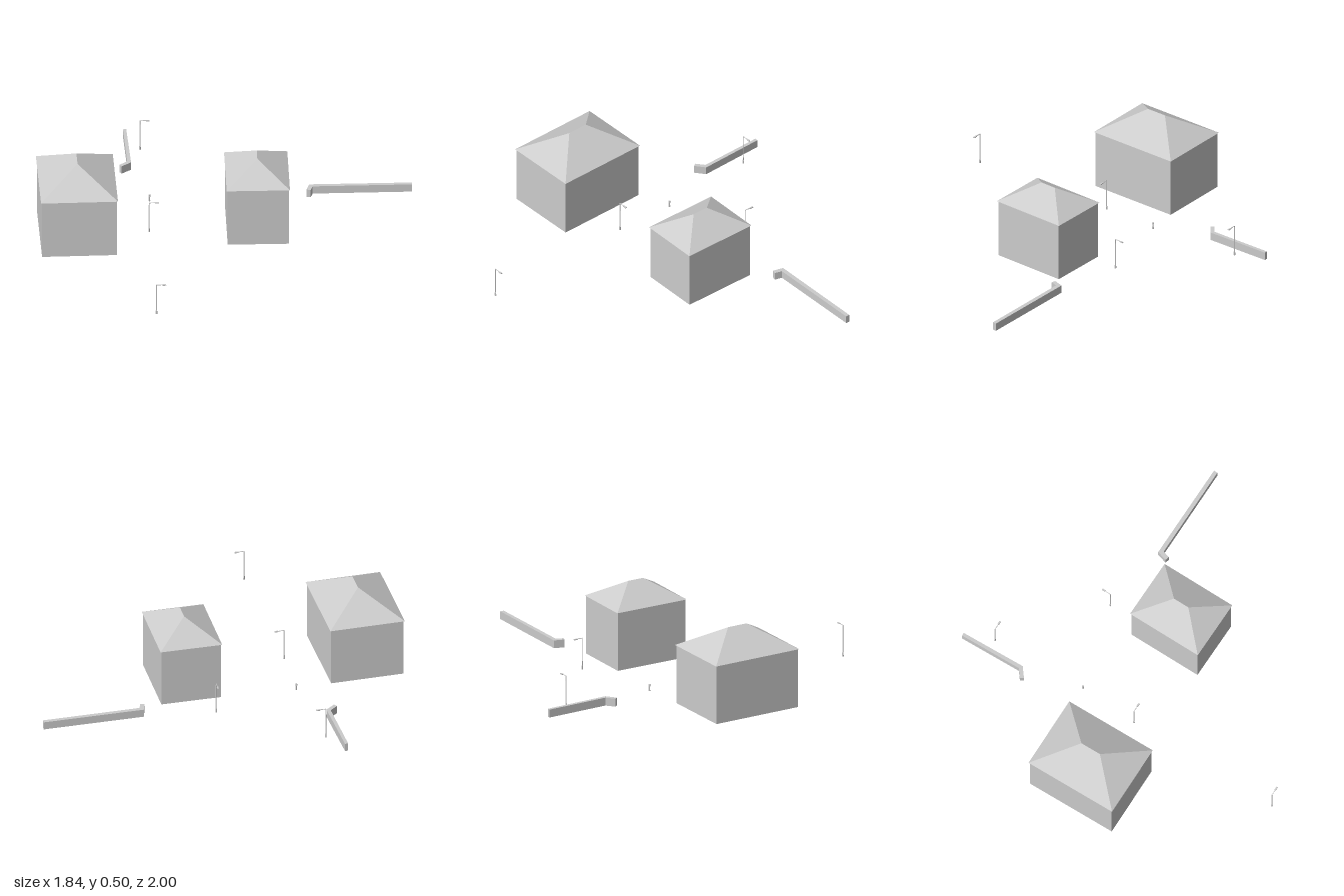
import * as THREE from 'three';

const grey = new THREE.MeshStandardMaterial({ color: 0xcccccc, flatShading: true, side: THREE.DoubleSide });

function add(parent, geometry, name, x = 0, y = 0, z = 0) {
  const mesh = new THREE.Mesh(geometry, grey);
  mesh.name = name;
  mesh.position.set(x, y, z);
  parent.add(mesh);
  return mesh;
}

// Flat faces from lists of corner points (counter-clockwise from outside), fanned into triangles
function facesGeometry(faces) {
  const pos = [];
  for (const f of faces)
    for (let i = 1; i < f.length - 1; i++) pos.push(...f[0], ...f[i], ...f[i + 1]);
  const g = new THREE.BufferGeometry();
  g.setAttribute('position', new THREE.Float32BufferAttribute(pos, 3));
  g.computeVertexNormals();
  return g;
}

// Upright side faces around an outline of [x, z] points
function sideFaces(outline, y0, y1) {
  return outline.map(([x, z], i) => {
    const [u, w] = outline[(i + 1) % outline.length];
    return [[x, y0, z], [u, y0, w], [u, y1, w], [x, y1, z]];
  });
}

// Rectangle outline, counter-clockwise seen from above
const rectangle = (w, d) => [[-w / 2, d / 2], [w / 2, d / 2], [w / 2, -d / 2], [-w / 2, -d / 2]];

// House: four walls without a floor, under a slightly overhanging hipped roof
function house(name, { x, z, turn, w, d, ridge, top }) {
  const g = new THREE.Group();
  g.name = name;
  const eave = 0.365, over = 0.012;
  add(g, facesGeometry(sideFaces(rectangle(w - over, d - over), 0.006, eave)), 'walls');
  const [a, b, c, e] = rectangle(w, d).map(([px, pz]) => [px, eave, pz]);
  const f = [0, top, ridge / 2], r = [0, top, -ridge / 2];
  add(g, facesGeometry([[a, b, f], [b, c, r, f], [c, e, r], [e, a, f, r]]), 'hippedRoof');
  g.position.set(x, 0, z);
  g.rotation.y = turn;
  return g;
}

// Low angled wall: side faces and a flat top made of a long and a short leg, open below
function lowWall(name, outline, y0, y1) {
  const g = new THREE.Group();
  g.name = name;
  const p = outline.map(([x, z]) => [x, y1, z]);
  add(g, facesGeometry(sideFaces(outline, y0, y1)), 'wallSides');
  add(g, facesGeometry([[p[0], p[1], p[4], p[5]], [p[1], p[2], p[3], p[4]]]), 'wallTop');
  return g;
}

// Street lamp: slim pole with an arm along local +x ending in a flat lamp head
function streetLamp(x, y, z, turn) {
  const g = new THREE.Group();
  g.name = 'streetLamp';
  add(g, new THREE.CylinderGeometry(0.0045, 0.005, 0.022, 8), 'poleBase', 0, 0.011, 0);
  add(g, new THREE.CylinderGeometry(0.0022, 0.003, 0.193, 8), 'pole', 0, 0.0965, 0);
  add(g, new THREE.BoxGeometry(0.04, 0.003, 0.003), 'arm', 0.018, 0.192, 0);
  add(g, new THREE.BoxGeometry(0.022, 0.005, 0.01), 'lampHead', 0.046, 0.191, 0);
  g.position.set(x, y, z);
  g.rotation.y = turn;
  return g;
}

// Short post with a wider head
function hydrant(x, y, z) {
  const g = new THREE.Group();
  g.name = 'hydrant';
  add(g, new THREE.CylinderGeometry(0.004, 0.005, 0.03, 8), 'post', 0, 0.015, 0);
  add(g, new THREE.CylinderGeometry(0.005, 0.007, 0.012, 8), 'head', 0, 0.036, 0);
  g.position.set(x, y, z);
  return g;
}

export function createModel() {
  const model = new THREE.Group();
  model.name = 'streetCorner';

  model.add(house('largeHouse', { x: -0.58, z: 0.364, turn: 0.55, w: 0.45, d: 0.575, ridge: 0.127, top: 0.5 }));
  model.add(house('smallHouse', { x: 0.301, z: -0.217, turn: 0.53, w: 0.37, d: 0.472, ridge: 0.1, top: 0.477 }));

  // Outlines run: far end, corner, short end, then back along the other side
  model.add(lowWall('leftLowWall', [
    [0.907, -1], [0.389, -0.693], [0.405, -0.63], [0.43, -0.637], [0.419, -0.681], [0.918, -0.979],
  ], 0.022, 0.07));
  model.add(lowWall('rightLowWall', [
    [-0.87, -0.735], [-0.664, -0.407], [-0.685, -0.349], [-0.664, -0.339], [-0.638, -0.407], [-0.854, -0.746],
  ], 0.036, 0.085));

  const lamps = [
    [-0.203, 0.02, 0.175, 0.54],
    [-0.003, 0.03, -0.533, 2.08],
    [0.289, 0, 0.993, 0.54],
    [-0.704, 0.042, -0.637, 0.54],
  ];
  for (const lamp of lamps) model.add(streetLamp(...lamp));

  model.add(hydrant(-0.375, 0.024, -0.146));
  return model;
}
